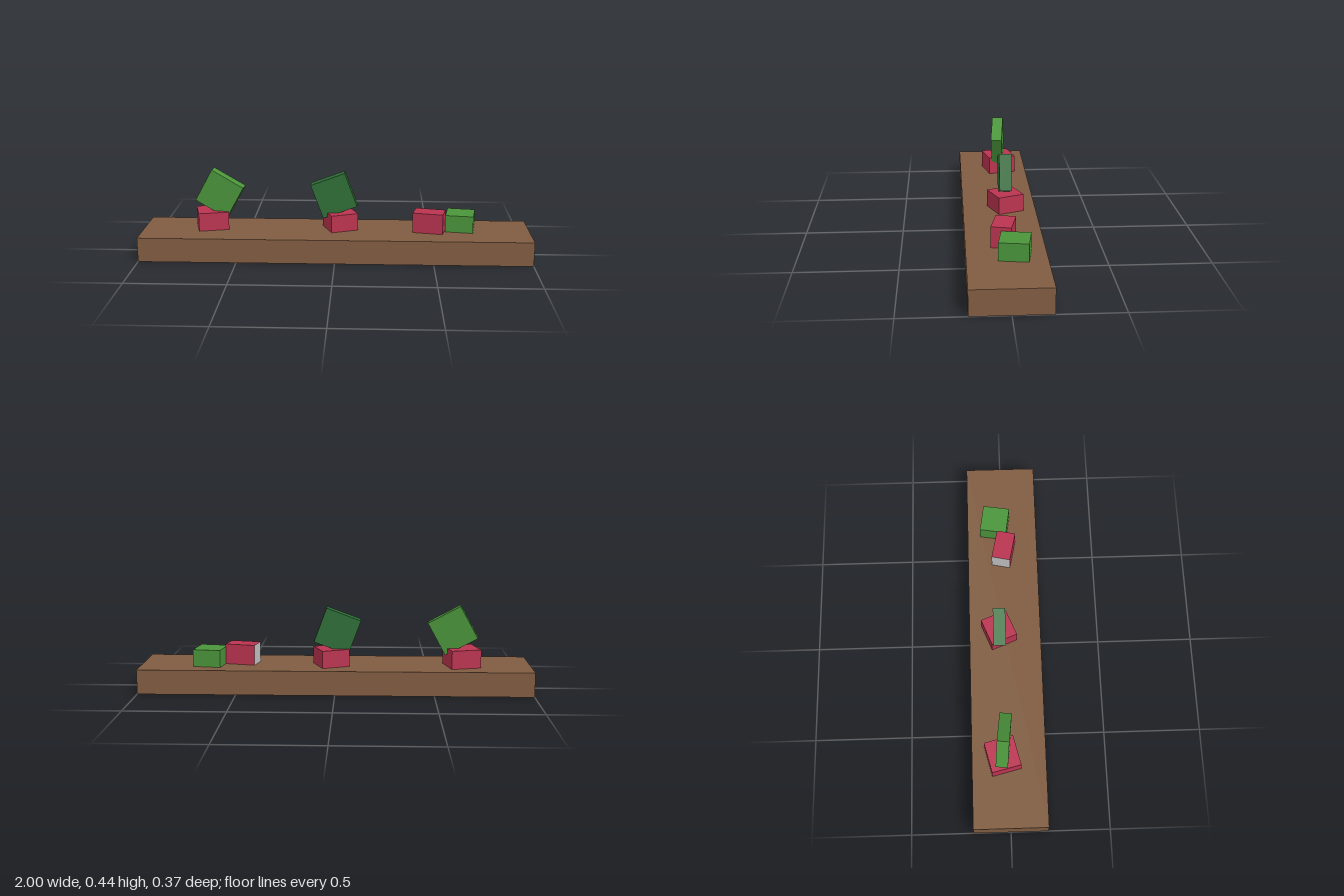
import * as THREE from 'three';

export function createModel() {
  const model = new THREE.Group();
  const mat = (name, color, side = THREE.FrontSide) => {
    const m = new THREE.MeshStandardMaterial({ color, side });
    m.name = name;
    return m;
  };
  const brown = mat('brown wood', 0x805c42, THREE.DoubleSide);
  const red = mat('red', 0xba3450, THREE.DoubleSide);
  const green = mat('light green', 0x4b953b);
  const darkGreen = mat('dark green', 0x2f6e37);
  const grey = mat('grey', 0xc4c4c4);

  // Box placed by its centre, yawed about y after rolling about z
  function block(name, size, pos, material, { yaw = 0, roll = 0, open = false } = {}) {
    const g = new THREE.BoxGeometry(...size);
    if (open) {
      // Leave out the underside
      const idx = Array.from(g.index.array);
      idx.splice(18, 6);
      g.setIndex(idx);
      g.clearGroups();
    }
    const m = new THREE.Mesh(g, material);
    m.name = name;
    m.position.set(...pos);
    m.rotation.order = 'YXZ';
    m.rotation.y = THREE.MathUtils.degToRad(yaw);
    m.rotation.z = THREE.MathUtils.degToRad(roll);
    model.add(m);
    return m;
  }

  // Hollow plank
  block('plank', [2, 0.125, 0.374], [0, 0.0625, 0], brown, { open: true });

  // Upright red bases, sunk through the plank top
  block('leftBase', [0.155, 0.133, 0.15], [-0.647, 0.1525, -0.032], red, { yaw: 14, open: true });
  block('middleBase', [0.145, 0.133, 0.14], [0.022, 0.1475, -0.032], red, { yaw: 22, open: true });

  // Tilted slabs balanced on the bases
  block('leftSlab', [0.187, 0.187, 0.06], [-0.6, 0.31, -0.025], green, { yaw: -6, roll: -29 });
  block('middleSlab', [0.187, 0.187, 0.062], [-0.01, 0.305, -0.03], darkGreen, { roll: 20.4 });

  // Fallen pair: red base on its side with a grey end, and a flat green slab
  block('fallenBase', [0.156, 0.105, 0.099], [0.482, 0.1765, 0.005],
    [red, grey, red, red, red, red], { yaw: -12 });
  block('fallenSlab', [0.143, 0.088, 0.141], [0.645, 0.169, -0.038], green, { yaw: -8.8 });

  return model;
}
